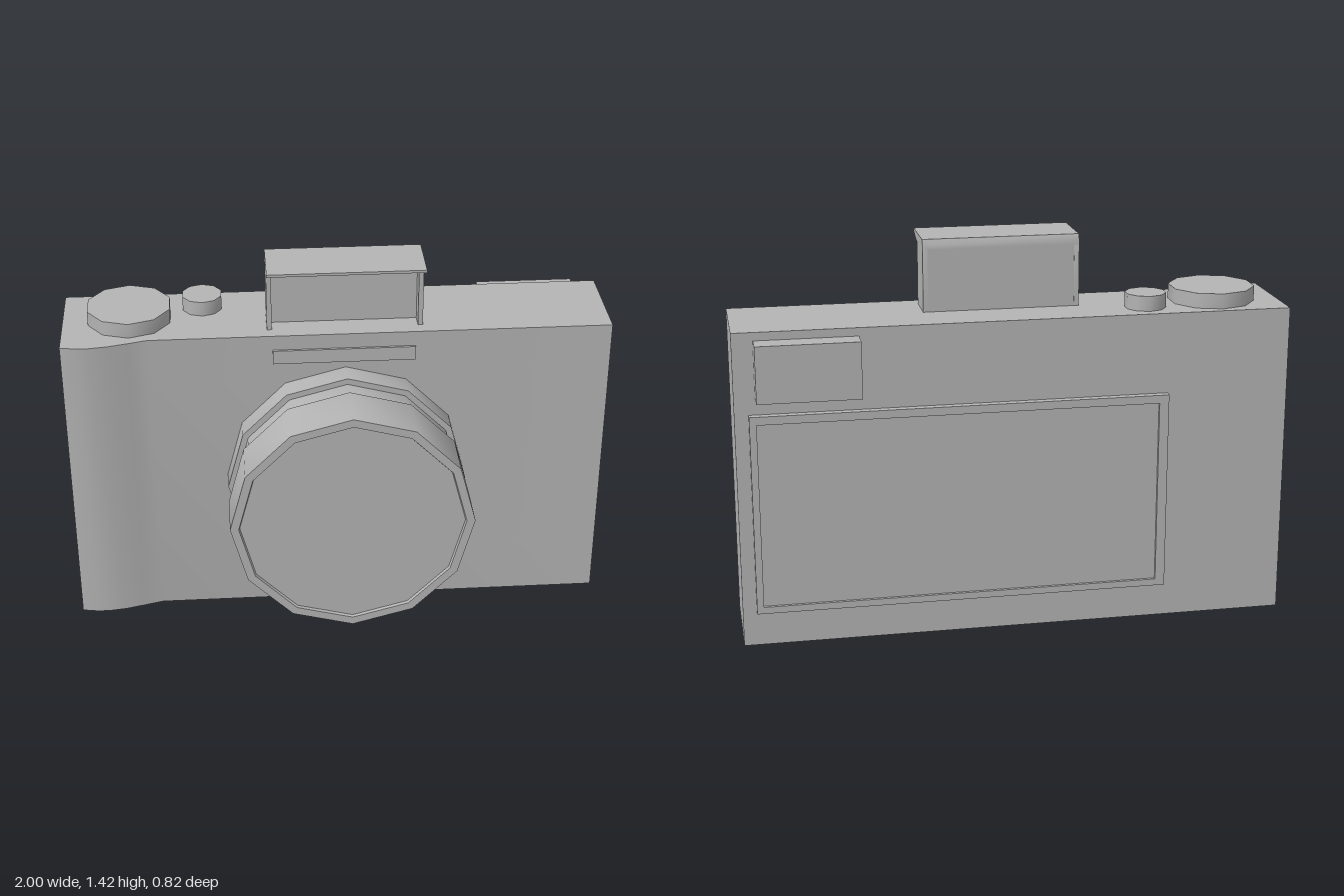
import * as THREE from 'three';
import { toCreasedNormals } from 'three/addons/utils/BufferGeometryUtils.js';

export function createModel() {
  const model = new THREE.Group();
  model.name = 'camera';
  const grey = new THREE.MeshStandardMaterial({ color: 0xb4b4b4 });
  grey.name = 'matte grey';

  const add = (name, geometry, parent = model) => {
    const mesh = new THREE.Mesh(geometry, grey);
    mesh.name = name;
    parent.add(mesh);
    return mesh;
  };
  // Box given by its lower and upper corners
  const box = (name, [x0, y0, z0], [x1, y1, z1], parent) => add(name,
    new THREE.BoxGeometry(x1 - x0, y1 - y0, z1 - z0)
      .translate((x0 + x1) / 2, (y0 + y1) / 2, (z0 + z1) / 2), parent);
  const shapeOf = (points) => new THREE.Shape(points.map(([x, y]) => new THREE.Vector2(x, y)));
  const extrude = (shape, depth) => toCreasedNormals(
    new THREE.ExtrudeGeometry(shape, { depth, bevelEnabled: false }), 0.7);

  // Body: plan outline (x, -z) raised upwards, with the swelling finger grip
  const plan = shapeOf([
    [-1, 0.33], [-1, -0.068], [-0.95, -0.077], [-0.9, -0.08], [-0.83, -0.07],
    [-0.76, -0.052], [-0.69, -0.033], [1, -0.033], [1, 0.33],
  ]);
  add('body', extrude(plan, 1.16).rotateX(-Math.PI / 2));

  // Lens barrel: twelve-sided, with a waist and a shallow front recess
  const profile = [
    [0, 0.02], [0.443, 0.02], [0.443, 0.122], [0.42, 0.122], [0.42, 0.22],
    [0.443, 0.22], [0.443, 0.41], [0.412, 0.41], [0.408, 0.4], [0, 0.4],
  ].map(([r, z]) => new THREE.Vector2(r, z));
  const barrel = new THREE.LatheGeometry(profile, 12).rotateX(Math.PI / 2);
  add('lens', toCreasedNormals(barrel, 0.7)).position.set(0.025, 0.581, 0);

  // Front window strip
  box('frontWindow', [-0.24, 1.05, 0.03], [0.28, 1.103, 0.042]);

  // Flash housing: side cheeks, rear wall and a roof that projects forwards
  const flash = new THREE.Group();
  flash.name = 'flash';
  model.add(flash);
  const cheek = [[0.018, 1.15], [0.155, 1.15], [0.155, 1.4], [0.145, 1.422], [0.018, 1.422]];
  const roof = [
    [-0.068, 1.412], [-0.012, 1.393], [0.018, 1.388], [0.08, 1.385],
    [0.155, 1.385], [0.155, 1.4], [0.145, 1.422], [-0.068, 1.422],
  ];
  // Side profiles are drawn as (-z, y) and turned to run along +x
  const across = (name, points, x0, x1) => add(name,
    extrude(shapeOf(points), x1 - x0).rotateY(Math.PI / 2).translate(x0, 0, 0), flash);
  across('flashRoof', roof, -0.258, 0.31);
  across('flashCheekRight', cheek, -0.258, -0.24);
  across('flashCheekLeft', cheek, 0.292, 0.31);
  box('flashPanel', [-0.245, 1.15, -0.154], [0.297, 1.39, -0.075], flash);

  // Dials on the top plate
  for (const [name, r, x, z, sides] of [
    ['modeDial', 0.157, -0.757, -0.147, 10],
    ['shutterButton', 0.075, -0.49, -0.217, 10],
  ]) {
    const dial = new THREE.CylinderGeometry(r, r, 0.065, sides);
    add(name, toCreasedNormals(dial, 0.8)).position.set(x, 1.1825, z);
  }

  // Rear screen: raised frame around a slightly sunken panel
  const rect = (x0, y0, x1, y1) => [[x0, y0], [x1, y0], [x1, y1], [x0, y1]];
  const frame = shapeOf(rect(-0.55, 0.13, 0.95, 0.865));
  frame.holes.push(shapeOf(rect(-0.515, 0.155, 0.925, 0.835)));
  add('screenFrame', extrude(frame, 0.035)).position.z = -0.358;
  box('screen', [-0.52, 0.15, -0.347], [0.93, 0.84, -0.325]);

  // Eyepiece at the rear upper corner
  box('eyepiece', [0.56, 0.925, -0.41], [0.925, 1.13, -0.325]);

  // Centre the depth
  for (const part of model.children) part.position.z += 0;
  return model;
}
